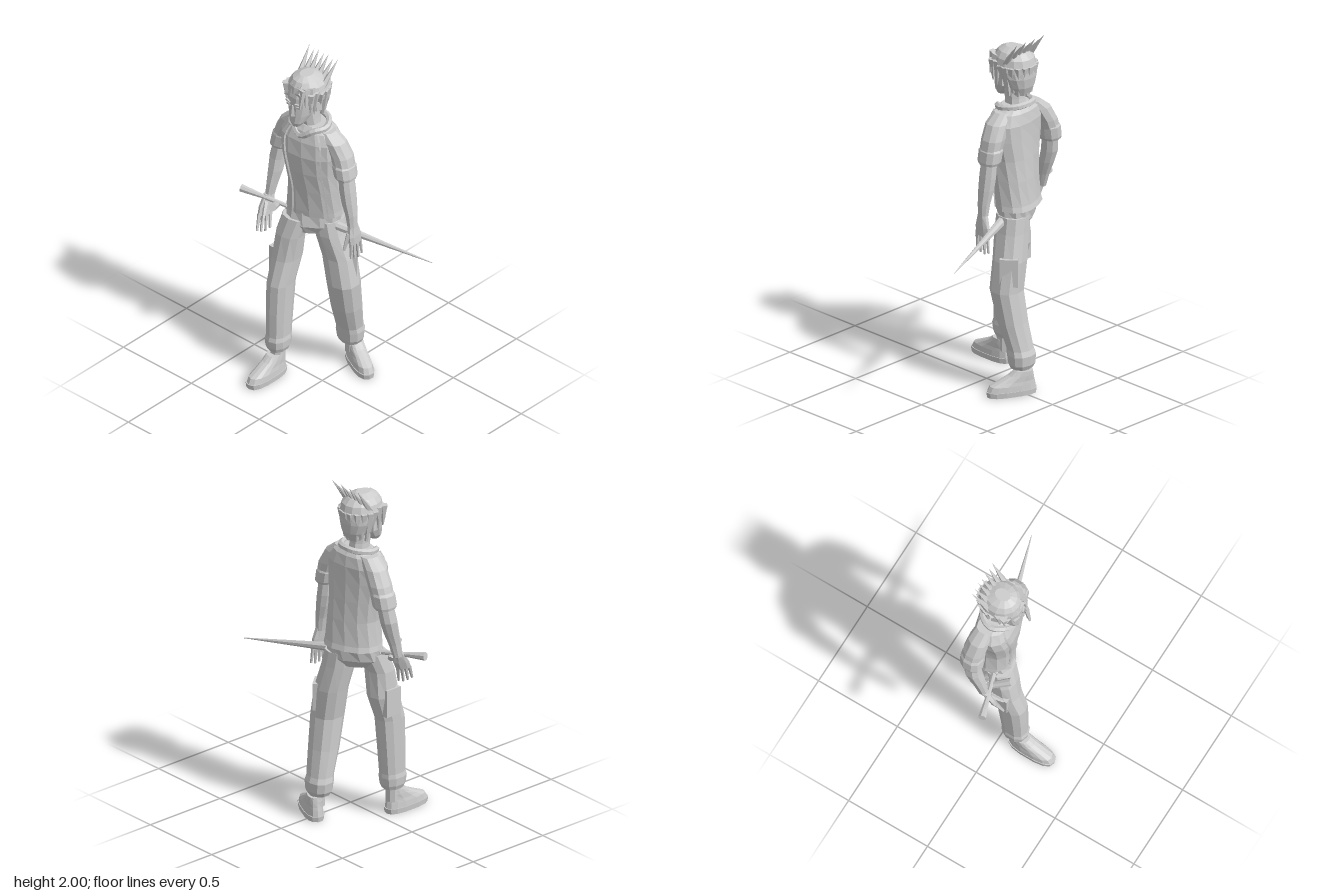
import * as THREE from 'three';

const grey = new THREE.MeshStandardMaterial({ color: 0xcccccc });
grey.name = 'plain grey';

// Point on a ring [x, y, z, radiusX, radiusZ, yaw] at an angle; power below 1 squares it off
function ringPoint([x, y, z, rx, rz, yaw = 0], a, grow = 1, power = 0.85) {
  const c = Math.cos(a), s = Math.sin(a);
  const u = Math.sign(c) * Math.abs(c) ** power * rx * grow;
  const v = Math.sign(s) * Math.abs(s) ** power * rz * grow;
  return new THREE.Vector3(x + u * Math.cos(yaw) + v * Math.sin(yaw), y, z - u * Math.sin(yaw) + v * Math.cos(yaw));
}

// Closed faceted skin over rings listed from bottom to top
function loft(rings, sides = 10, power = 0.85) {
  const pos = [], index = [], n = rings.length;
  rings.forEach(r => {
    for (let i = 0; i < sides; i++) pos.push(...ringPoint(r, (i + 0.5) / sides * Math.PI * 2, 1, power).toArray());
  });
  pos.push(...rings[0].slice(0, 3), ...rings[n - 1].slice(0, 3));
  const bottom = n * sides, top = bottom + 1;
  for (let i = 0; i < sides; i++) {
    const k = (i + 1) % sides, t = (n - 1) * sides;
    for (let j = 0; j < n - 1; j++) {
      const a = j * sides + i, b = j * sides + k;
      index.push(a, a + sides, b + sides, a, b + sides, b);
    }
    index.push(bottom, i, k, top, t + k, t + i);
  }
  const g = new THREE.BufferGeometry();
  g.setAttribute('position', new THREE.Float32BufferAttribute(pos, 3));
  g.setIndex(index);
  return g;
}

function add(parent, name, geometry) {
  const g = geometry.index ? geometry.toNonIndexed() : geometry;
  g.computeVertexNormals();
  const mesh = new THREE.Mesh(g, grey);
  mesh.name = name;
  parent.add(mesh);
  return mesh;
}

// Tapered rod between two points, optionally flattened
function rod(parent, name, p, q, r0, r1, sides = 6, flat = 1) {
  const a = new THREE.Vector3(...p), b = new THREE.Vector3(...q), d = b.clone().sub(a);
  const mesh = add(parent, name, new THREE.CylinderGeometry(r1, r0, d.length(), sides));
  mesh.position.copy(a).add(b).multiplyScalar(0.5);
  mesh.quaternion.setFromUnitVectors(new THREE.Vector3(0, 1, 0), d.normalize());
  mesh.scale.z = flat;
  return mesh;
}

function box(parent, name, size, at, yaw = 0) {
  const mesh = add(parent, name, new THREE.BoxGeometry(...size));
  mesh.position.set(...at);
  mesh.rotation.y = yaw;
  return mesh;
}

function group(parent, name) {
  const g = new THREE.Group();
  g.name = name;
  parent.add(g);
  return g;
}

function buildTorso(root) {
  const g = group(root, 'torso');
  const rings = [
    [-0.14, 1.03, -0.105, 0.165, 0.115, 0.4], [-0.138, 1.06, -0.1, 0.16, 0.112, 0.4],
    [-0.132, 1.2, -0.09, 0.152, 0.112, 0.32], [-0.138, 1.32, -0.077, 0.16, 0.115, 0.25],
    [-0.142, 1.43, -0.07, 0.178, 0.115, 0.2], [-0.145, 1.52, -0.075, 0.182, 0.108, 0.15],
    [-0.145, 1.58, -0.08, 0.145, 0.092, 0.12], [-0.145, 1.61, -0.08, 0.085, 0.07, 0.1]];
  add(g, 'shirt', loft(rings, 14));
  // Long seams down the front
  for (const a of [0.95, 2.2]) {
    const path = new THREE.CatmullRomCurve3(rings.slice(0, 7).map(r => ringPoint(r, a, 0.985)));
    add(g, 'seam', new THREE.TubeGeometry(path, 14, 0.007, 4));
  }
  // Raised collar open at the throat
  const collar = new THREE.CatmullRomCurve3([
    [-0.15, 1.55, 0.015], [-0.22, 1.595, -0.01], [-0.25, 1.605, -0.07], [-0.21, 1.615, -0.14],
    [-0.145, 1.62, -0.16], [-0.08, 1.615, -0.14], [-0.04, 1.605, -0.07], [-0.075, 1.595, -0.01]
  ].map(p => new THREE.Vector3(...p)), true);
  add(g, 'collar', new THREE.TubeGeometry(collar, 24, 0.018, 6, true));
  add(g, 'neck', loft([[-0.148, 1.56, -0.08, 0.06, 0.06], [-0.15, 1.64, -0.065, 0.052, 0.058], [-0.155, 1.73, -0.055, 0.052, 0.06]], 8));
}

function buildHead(root) {
  const g = group(root, 'head'), cx = -0.155;
  add(g, 'face', loft([
    [cx, 1.63, 0.035, 0.024, 0.025], [cx, 1.655, 0.02, 0.042, 0.05], [cx, 1.7, -0.005, 0.06, 0.074],
    [cx, 1.76, -0.025, 0.071, 0.094], [cx, 1.82, -0.03, 0.077, 0.1], [cx, 1.89, -0.04, 0.07, 0.09]], 12));
  rod(g, 'nose', [cx, 1.705, 0.066], [cx, 1.77, 0.066], 0.016, 0.006, 4);
  box(g, 'mouth', [0.035, 0.005, 0.008], [cx, 1.677, 0.055]);
  for (const s of [-1, 1]) {
    box(g, 'eye', [0.03, 0.012, 0.006], [cx + s * 0.034, 1.765, 0.064], s * 0.25);
    box(g, 'brow', [0.038, 0.008, 0.012], [cx + s * 0.035, 1.785, 0.065], s * 0.25);
    box(g, 'ear', [0.018, 0.055, 0.035], [cx + s * 0.083, 1.75, -0.045], -s * 0.3);
  }
  // Hair mass
  add(g, 'hair', loft([
    [cx, 1.67, -0.115, 0.05, 0.04], [cx, 1.72, -0.11, 0.078, 0.065], [cx, 1.775, -0.095, 0.1, 0.088],
    [cx, 1.81, -0.075, 0.108, 0.108], [cx, 1.84, -0.06, 0.11, 0.124], [cx, 1.88, -0.058, 0.1, 0.115],
    [cx, 1.91, -0.052, 0.076, 0.09], [cx, 1.93, -0.045, 0.035, 0.045]], 14, 1));
  // Hanging locks round the sides and back
  for (let i = 0; i < 11; i++) {
    const a = Math.PI * (0.95 + i * 1.1 / 10), c = Math.cos(a), s = Math.sin(a);
    const low = i === 0 || i === 10 ? 1.715 : 1.69 - 0.02 * (i % 2);
    rod(g, 'lock', [cx + c * 0.075, low, -0.075 + s * 0.075], [cx + c * 0.098, 1.845, -0.065 + s * 0.105], 0.009, 0.025, 5);
  }
  // Locks in front of the ears
  for (const s of [-1, 1])
    for (let i = 0; i < 2; i++)
      rod(g, 'sideLock', [cx + s * 0.085, 1.715 + i * 0.02, -0.01 + i * 0.03], [cx + s * 0.092, 1.86, -0.015 + i * 0.035], 0.004, 0.024, 5);
  // Swept fringe from the parting
  for (let i = 0; i < 4; i++)
    rod(g, 'fringe', [-0.1 - i * 0.008, 1.865 + i * 0.014, 0.05 - i * 0.02], [-0.25, 1.785 + i * 0.025, 0.025 - i * 0.02], 0.026, 0.007, 5);
  for (let i = 0; i < 3; i++)
    rod(g, 'fringe', [-0.1 + i * 0.01, 1.885, 0.045 - i * 0.02], [-0.1 + i * 0.024, 1.78, 0.07 - i * 0.022], 0.025, 0.005, 5);
  // Row of spikes leaning backwards
  for (let i = 0; i < 7; i++) {
    const t = i / 3 - 1;
    rod(g, 'spike', [cx + t * 0.085, 1.875 - t * t * 0.02, -0.095 + t * t * 0.02], [cx + t * 0.105, 2 - (i % 2) * 0.012, -0.18], 0.021, 0, 5);
  }
}

// Sleeve, forearm and hand
function buildArm(root, name, sleeve, cuff, forearm, palm, tip, thumb) {
  const g = group(root, name);
  add(g, 'sleeve', loft(sleeve));
  add(g, 'cuff', loft(cuff));
  add(g, 'forearm', loft(forearm, 8));
  add(g, 'palm', loft(palm, 8));
  const [x, y, z, , rz, yaw = 0] = palm[0];
  for (let i = 0; i < 4; i++) {
    const o = (i - 1.5) / 1.5 * rz * 0.75, len = 1 - Math.abs(i - 1.3) * 0.1;
    const p = [x + o * Math.sin(yaw), y + 0.01, z + o * Math.cos(yaw)];
    rod(g, 'finger', p, p.map((v, k) => v + (tip[k] + (k === 2 ? o * 0.3 : 0)) * len), 0.012, 0.007, 5);
  }
  rod(g, 'thumb', thumb[0], thumb[1], 0.015, 0.008, 5);
}

function buildLeg(root, name, rings, pocket, foot, ankle, turn) {
  const g = group(root, name);
  add(g, 'trouserLeg', loft(rings, 10));
  box(g, 'pocket', [0.03, 0.16, 0.1], pocket, turn > 0.5 ? 0.7 : 0);
  add(g, 'ankle', loft([[...ankle, 0.04, 0.045], [ankle[0], ankle[1] + 0.12, ankle[2], 0.038, 0.042]], 8));
  // Shoe with a thick sole and rounded toe
  const shoe = group(g, 'shoe');
  shoe.position.set(...foot);
  shoe.rotation.y = turn;
  add(shoe, 'sole', loft([[0, 0, 0, 0.053, 0.14], [0, 0.03, 0, 0.055, 0.145]], 14, 0.75));
  add(shoe, 'shoeUpper', loft([[0, 0.03, 0, 0.052, 0.14], [0, 0.06, -0.005, 0.049, 0.13],
    [0, 0.08, -0.025, 0.045, 0.105], [0, 0.11, -0.055, 0.043, 0.07], [0, 0.135, -0.07, 0.04, 0.05]], 14, 0.8));
}

function buildSword(root) {
  const g = group(root, 'sword');
  const a = new THREE.Vector3(-0.54, 1.043, 0.062), b = new THREE.Vector3(0.54, 0.88, -0.292);
  const along = t => a.clone().lerp(b, t).toArray();
  rod(g, 'pommel', along(0), along(0.1), 0.023, 0.014, 8);
  rod(g, 'grip', along(0.1), along(0.24), 0.013, 0.013, 8);
  rod(g, 'blade', along(0.24), along(0.5), 0.02, 0.026, 8);
  rod(g, 'bladePoint', along(0.5), along(1), 0.026, 0.002, 8);
  rod(g, 'guard', [-0.35, 0.985, -0.02], [-0.283, 1.05, 0.09], 0.018, 0.023, 8);
}

export function createModel() {
  const root = new THREE.Group();
  root.name = 'swordsman';
  buildTorso(root);
  buildHead(root);
  add(root, 'hips', loft([[-0.14, 0.91, -0.075, 0.1, 0.07, 0.7], [-0.14, 0.96, -0.085, 0.155, 0.1, 0.6],
    [-0.14, 1.06, -0.1, 0.152, 0.105, 0.45]], 12));

  buildArm(root, 'leftArm',
    [[0.08, 1.36, -0.1, 0.05, 0.06], [0.05, 1.46, -0.1, 0.06, 0.064], [0.005, 1.54, -0.09, 0.065, 0.062], [-0.045, 1.59, -0.085, 0.05, 0.05]],
    [[0.083, 1.325, -0.1, 0.05, 0.06], [0.08, 1.34, -0.1, 0.055, 0.067], [0.068, 1.4, -0.1, 0.057, 0.068], [0.064, 1.415, -0.1, 0.05, 0.06]],
    [[0.13, 1.02, -0.1, 0.023, 0.03], [0.122, 1.1, -0.1, 0.031, 0.036], [0.105, 1.18, -0.1, 0.04, 0.045], [0.093, 1.25, -0.1, 0.043, 0.048], [0.08, 1.35, -0.1, 0.04, 0.045]],
    [[0.14, 0.92, -0.11, 0.016, 0.045], [0.137, 0.97, -0.105, 0.02, 0.048], [0.13, 1.04, -0.1, 0.022, 0.03]],
    [0.005, -0.115, -0.005], [[0.13, 0.99, -0.07], [0.12, 0.89, -0.042]]);
  buildArm(root, 'rightArm',
    [[-0.38, 1.38, -0.1, 0.058, 0.06], [-0.35, 1.46, -0.1, 0.062, 0.064], [-0.305, 1.54, -0.095, 0.064, 0.06], [-0.25, 1.595, -0.09, 0.05, 0.05]],
    [[-0.388, 1.33, -0.095, 0.054, 0.06], [-0.385, 1.345, -0.095, 0.06, 0.066], [-0.373, 1.41, -0.1, 0.062, 0.066], [-0.37, 1.425, -0.1, 0.054, 0.06]],
    [[-0.402, 1.02, -0.015, 0.022, 0.029], [-0.4, 1.1, -0.035, 0.03, 0.035], [-0.398, 1.18, -0.06, 0.04, 0.043], [-0.4, 1.25, -0.08, 0.045, 0.047], [-0.388, 1.35, -0.095, 0.042, 0.045]],
    [[-0.39, 0.93, 0.035, 0.017, 0.043, -0.4], [-0.395, 0.975, 0.015, 0.02, 0.046, -0.4], [-0.402, 1.04, -0.012, 0.022, 0.03, -0.3]],
    [0.02, -0.105, 0.035], [[-0.395, 1.0, 0.02], [-0.36, 0.915, 0.085]]);

  buildLeg(root, 'rightLeg', [
    [-0.24, 0.155, 0.09, 0.052, 0.062], [-0.24, 0.18, 0.09, 0.062, 0.072], [-0.24, 0.225, 0.09, 0.065, 0.078],
    [-0.24, 0.25, 0.087, 0.06, 0.074], [-0.24, 0.4, 0.08, 0.063, 0.08], [-0.24, 0.58, 0.068, 0.067, 0.085],
    [-0.237, 0.73, 0.022, 0.075, 0.088], [-0.225, 0.88, 0.008, 0.082, 0.075], [-0.205, 0.99, -0.03, 0.085, 0.08]],
    [-0.303, 0.7, 0.03], [-0.235, 0, 0.19], [-0.235, 0.07, 0.1], 0);
  buildLeg(root, 'leftLeg', [
    [-0.02, 0.14, -0.245, 0.062, 0.055], [-0.02, 0.165, -0.246, 0.076, 0.066], [-0.02, 0.22, -0.244, 0.082, 0.072],
    [-0.018, 0.25, -0.236, 0.076, 0.068], [-0.002, 0.4, -0.195, 0.084, 0.08], [0.008, 0.58, -0.16, 0.09, 0.088],
    [-0.02, 0.75, -0.157, 0.09, 0.09], [-0.055, 0.9, -0.135, 0.084, 0.093], [-0.07, 0.99, -0.13, 0.08, 0.09]],
    [0.042, 0.7, -0.21], [0.052, 0, -0.24], [-0.015, 0.07, -0.255], 1.13);
  buildSword(root);
  return root;
}
